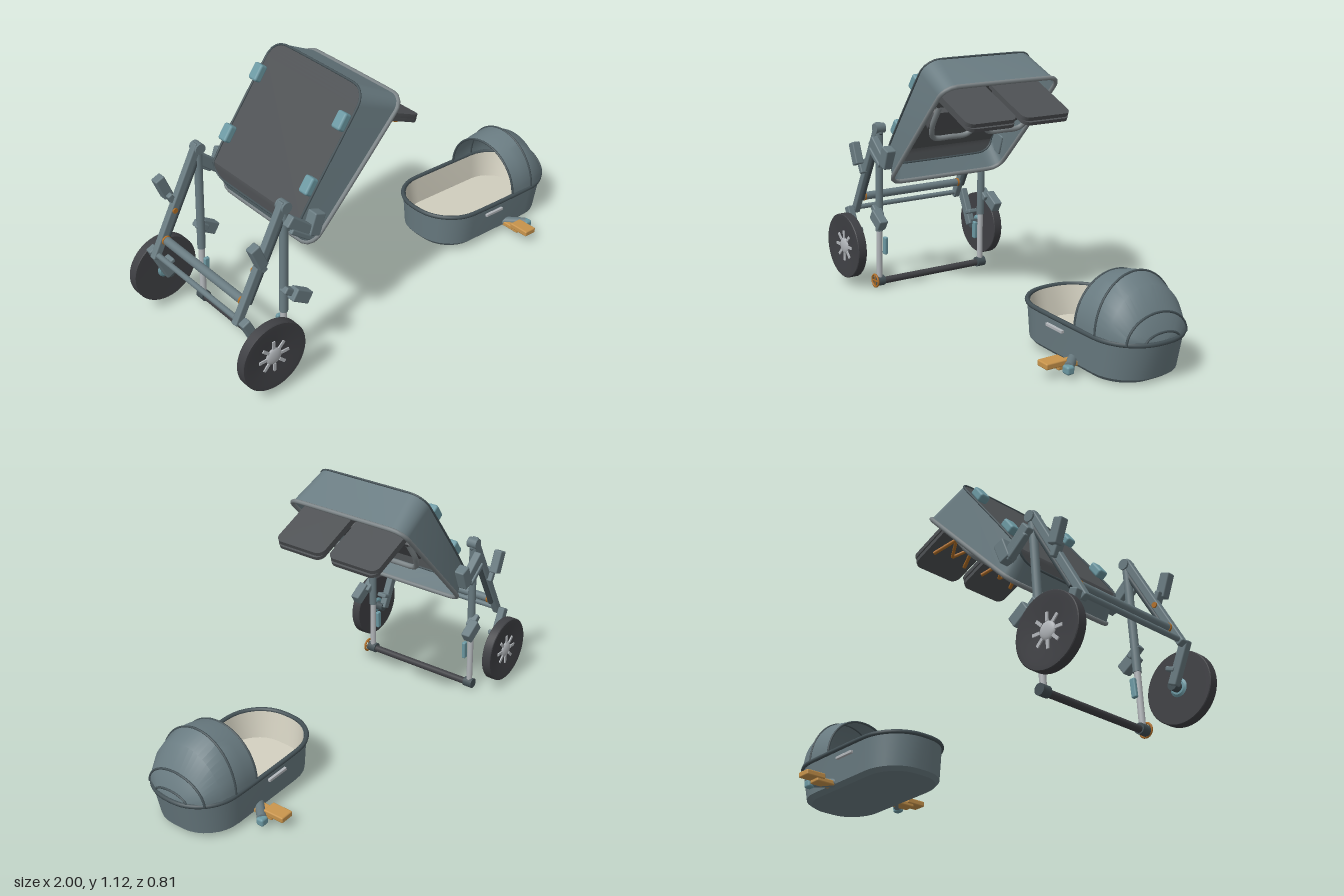
import * as THREE from 'three';
import { toCreasedNormals } from 'three/addons/utils/BufferGeometryUtils.js';
import { RoundedBoxGeometry } from 'three/addons/geometries/RoundedBoxGeometry.js';

const V = (x, y, z) => new THREE.Vector3(x, y, z);
function material(name, color, side = THREE.FrontSide) {
  const m = new THREE.MeshStandardMaterial({ color, side });
  m.name = name;
  return m;
}

// Rounded rectangle lying between two points of the xy plane and spread along z
function loop(p0, p1, halfZ, radius, zc = 0) {
  const half = Math.hypot(p1[0] - p0[0], p1[1] - p0[1]) / 2;
  const pts = [];
  [[1, 1], [-1, 1], [-1, -1], [1, -1]].forEach(([sx, sz], q) => {
    for (let i = 0; i <= 8; i++) {
      const a = (q + i / 8) * Math.PI / 2;
      const s = (sx * (half - radius) + radius * Math.cos(a)) / half;
      const z = sz * (halfZ - radius) + radius * Math.sin(a);
      const t = (s + 1) / 2;
      pts.push(V(p0[0] + (p1[0] - p0[0]) * t, p0[1] + (p1[1] - p0[1]) * t, z + zc));
    }
  });
  return pts;
}

// Skin a row of cross-sections
function loft(sections, closed = true, crease = 0.6) {
  const n = sections[0].length, pos = [], idx = [];
  sections.forEach(s => s.forEach(p => pos.push(p.x, p.y, p.z)));
  for (let j = 0; j < sections.length - 1; j++) {
    for (let i = 0; i < (closed ? n : n - 1); i++) {
      const a = j * n + i, b = j * n + (i + 1) % n;
      idx.push(a, b, a + n, b, b + n, a + n);
    }
  }
  const g = new THREE.BufferGeometry();
  g.setAttribute('position', new THREE.Float32BufferAttribute(pos, 3));
  g.setIndex(idx);
  g.computeVertexNormals();
  return toCreasedNormals(g, crease);
}

// Face filling a loop, spanned straight across z
function cap(pts) {
  const h = pts.length / 2;
  return loft([pts.slice(0, h), pts.slice(h).reverse()], false, 0.3);
}

// Flat cushion with rounded corners
function slab(p0, p1, halfZ, radius, thickness, zc) {
  const n = V(p0[1] - p1[1], p1[0] - p0[0], 0).setLength(thickness / 2);
  const mid = loop(p0, p1, halfZ, radius, zc);
  const low = mid.map(p => p.clone().sub(n)), high = mid.map(p => p.clone().add(n));
  const middle = pts => {
    const c = pts.reduce((s, p) => s.add(p), V(0, 0, 0)).divideScalar(pts.length);
    return pts.map(p => p.clone().lerp(c, 0.999));
  };
  return loft([middle(low), low, high, middle(high)]);
}

export function createModel() {
  const root = new THREE.Group();
  root.name = 'stroller';
  const D = THREE.DoubleSide;
  const slate = material('slate grey', 0x697b81, D);
  const trim = material('dark trim', 0x445156);
  const pale = material('pale grey edging', 0x7b8386);
  const charcoal = material('charcoal fabric', 0x4e5154, D);
  const rubber = material('tyre rubber', 0x3f4044);
  const metal = material('silver metal', 0xb2b6ba);
  const orange = material('orange', 0xb06e26);
  const amber = material('light orange', 0xc8944c);
  const teal = material('teal plastic', 0x6c99a3);
  const cream = material('cream lining', 0xd2cfbf, D);

  let parent = root;
  const section = name => { parent = new THREE.Group(); parent.name = name; root.add(parent); };
  function add(name, geo, mat) {
    const m = new THREE.Mesh(geo, mat);
    m.name = name;
    parent.add(m);
    return m;
  }
  function rod(name, a, b, r, mat) {
    const d = b.clone().sub(a);
    const m = add(name, new THREE.CylinderGeometry(r, r, d.length(), 16), mat);
    m.position.copy(a).lerp(b, 0.5);
    m.quaternion.setFromUnitVectors(V(0, 1, 0), d.normalize());
    return m;
  }
  // Rounded bar between two xy points at depth z
  function bar(name, a, b, width, depth, z, mat, round = 0.006) {
    const dx = b[0] - a[0], dy = b[1] - a[1];
    const m = add(name, new RoundedBoxGeometry(Math.hypot(dx, dy), width, depth, 2, round), mat);
    m.position.set((a[0] + b[0]) / 2, (a[1] + b[1]) / 2, z);
    m.rotation.z = Math.atan2(dy, dx);
    return m;
  }
  function tube(name, pts, r, closed, mat) {
    const curve = new THREE.CatmullRomCurve3(pts, closed, 'centripetal');
    return add(name, new THREE.TubeGeometry(curve, 96, r, 8, closed), mat);
  }

  // Wheels
  section('wheels');
  const wheels = parent;
  const tyre = [[0, -0.02], [0.13, -0.022], [0.15, -0.022], [0.153, -0.019],
    [0.153, 0.019], [0.15, 0.022], [0.13, 0.022], [0.07, 0.014], [0, 0.012]];
  for (const s of [1, -1]) {
    parent = new THREE.Group();
    parent.name = 'wheel';
    parent.position.set(-0.845, 0.195, s * 0.381);
    parent.rotation.x = s * Math.PI / 2;
    wheels.add(parent);
    const g = new THREE.LatheGeometry(tyre.map(p => new THREE.Vector2(...p)), 48);
    add('tyre', toCreasedNormals(g, 0.6), rubber);
    const dome = add('hubDome', new THREE.SphereGeometry(0.038, 24, 12), metal);
    dome.scale.y = 0.32;
    dome.position.y = 0.013;
    for (let i = 0; i < 8; i++) {
      const a = i * Math.PI / 4;
      const spoke = add('spoke', new THREE.BoxGeometry(0.036, 0.008, 0.013), metal);
      spoke.position.set(0.054 * Math.cos(a), 0.015, 0.054 * Math.sin(a));
      spoke.rotation.y = -a;
    }
    add('innerHub', new THREE.CylinderGeometry(0.045, 0.03, 0.012, 20), teal).position.y = -0.022;
  }

  // Folding frame
  section('frame');
  for (const s of [1, -1]) {
    const z = s * 0.284;
    bar('rearLeg', [-0.685, 0.79], [-0.935, 0.33], 0.034, 0.032, z, slate);
    rod('rearLegRail', V(-0.675, 0.75, z), V(-0.87, 0.4, z), 0.012, trim);
    rod('frontLeg', V(-0.683, 0.78, z), V(-0.706, 0.28, z), 0.018, slate);
    rod('frontLegTube', V(-0.706, 0.29, z), V(-0.715, 0.04, z), 0.014, metal);
    rod('apexHinge', V(-0.685, 0.77, z - 0.024), V(-0.685, 0.77, z + 0.024), 0.024, slate);
    rod('frontFoot', V(-0.715, 0.035, z - 0.022), V(-0.715, 0.035, z + 0.022), 0.024, trim);
    bar('seatArm', [-0.69, 0.72], [-0.575, 0.62], 0.05, 0.036, s * 0.314, slate);
    bar('seatArmLink', [-0.69, 0.68], [-0.6, 0.61], 0.022, 0.02, s * 0.33, slate);
    bar('seatMount', [-0.58, 0.61], [-0.545, 0.7], 0.055, 0.05, s * 0.313, slate);
    bar('upperBracket', [-0.863, 0.68], [-0.825, 0.58], 0.045, 0.04, s * 0.32, slate);
    bar('upperBracketLink', [-0.835, 0.6], [-0.805, 0.54], 0.025, 0.04, s * 0.3, slate);
    bar('lowerBracket', [-0.685, 0.375], [-0.61, 0.325], 0.055, 0.044, s * 0.318, slate);
    bar('lowerBracketLink', [-0.715, 0.4], [-0.665, 0.36], 0.03, 0.04, s * 0.3, slate);
    bar('wheelFork', [-0.925, 0.36], [-0.85, 0.19], 0.04, 0.034, s * 0.322, slate);
    rod('axle', V(-0.845, 0.195, s * 0.318), V(-0.845, 0.195, s * 0.372), 0.022, trim);
    bar('brakeLever', [-0.87, 0.25], [-0.83, 0.265], 0.02, 0.05, s * 0.325, slate);
    bar('footCatch', [-0.712, 0.16], [-0.706, 0.245], 0.026, 0.018, s * 0.252, teal);
    rod('crossbarCollar', V(-0.883, 0.41, s * 0.258), V(-0.883, 0.41, s * 0.267), 0.021, orange);
    rod('legCollar', V(-0.827, 0.531, s * 0.262), V(-0.827, 0.531, s * 0.27), 0.012, orange);
  }
  rod('upperCrossbar', V(-0.883, 0.41, -0.28), V(-0.883, 0.41, 0.28), 0.019, slate);
  rod('lowerCrossbar', V(-0.925, 0.35, -0.28), V(-0.925, 0.35, 0.28), 0.012, slate);
  rod('frontCrossbar', V(-0.715, 0.032, -0.28), V(-0.715, 0.032, 0.28), 0.016, rubber);
  add('footRing', new THREE.TorusGeometry(0.029, 0.005, 8, 24), orange).position.set(-0.71, 0.04, 0.31);
  for (const a of [0, Math.PI / 2]) {
    const cross = bar('footRingSpoke', [-0.737, 0.04], [-0.683, 0.04], 0.006, 0.006, 0.31, orange, 0.002);
    cross.rotation.z = a;
  }

  // Seat tub, open towards the lower right, its back folded near the lower edge
  section('seatTub');
  const back = loop([-0.655, 0.61], [-0.27, 1.122], 0.286, 0.075);
  back.forEach(p => { p.x = Math.max(p.x, -0.612); });
  const rim = loop([-0.572, 0.535], [-0.092, 1.025], 0.302, 0.06);
  add('tubWall', loft([back, rim]), slate);
  add('tubBack', cap(back), charcoal);
  tube('backPiping', back, 0.005, true, trim);
  tube('tubRim', rim, 0.01, true, pale);
  for (const s of [1, -1]) {
    for (const [x, y] of [[-0.379, 1.015], [-0.547, 0.793]]) {
      bar('backClip', [x - 0.022, y - 0.03], [x + 0.022, y + 0.03], 0.038, 0.05, s * 0.264, teal, 0.01);
    }
    // Folded seat pads with support loops and struts
    const zc = s * 0.142;
    add('seatPad', slab([-0.25, 1.003], [0.034, 0.877], 0.127, 0.035, 0.018, zc), charcoal);
    add('seatPadBase', slab([-0.235, 0.976], [0.034, 0.857], 0.122, 0.035, 0.016, zc), charcoal);
    add('seatCushion', slab([-0.345, 0.81], [-0.27, 0.9], 0.105, 0.03, 0.03, zc), charcoal);
    const w = 0.118;
    tube('seatLoop', [V(-0.2, 0.925, zc - w), V(-0.26, 0.835, zc - w), V(-0.3, 0.778, zc - w + 0.03),
      V(-0.303, 0.772, zc), V(-0.3, 0.778, zc + w - 0.03), V(-0.26, 0.835, zc + w),
      V(-0.2, 0.925, zc + w)], 0.012, false, pale);
    for (const t of [1, -1]) {
      rod('strut', V(-0.22, 0.952, zc + t * 0.025), V(-0.06, 0.882, zc + t * 0.09), 0.008, orange);
      rod('strutBrace', V(-0.22, 0.95, zc + t * 0.09), V(-0.08, 0.89, zc), 0.007, orange);
    }
  }

  // Bassinet shell, lining and rim
  section('bassinet');
  const bz = 0.022;
  const base = loop([0.29, 0.036], [0.92, 0.004], 0.168, 0.14, bz);
  const lip = loop([0.26, 0.206], [0.987, 0.171], 0.198, 0.18, bz);
  add('shell', loft([base, loop([0.274, 0.055], [0.95, 0.023], 0.187, 0.16, bz), lip]), slate);
  add('shellBottom', cap(base), slate);
  const floor = loop([0.298, 0.082], [0.935, 0.052], 0.17, 0.14, bz);
  add('lining', loft([floor, loop([0.272, 0.205], [0.975, 0.172], 0.187, 0.17, bz)]), cream);
  add('mattress', cap(floor), cream);
  tube('bassinetRim', lip, 0.01, true, trim);

  // Hood: arches given as x at base, x at crown, crown height, half width
  const arches = [[0.69, 0.69, 0.385, 0.197], [0.75, 0.748, 0.4, 0.2], [0.815, 0.81, 0.408, 0.2],
    [0.88, 0.885, 0.368, 0.186], [0.942, 0.946, 0.278, 0.15], [0.975, 0.977, 0.208, 0.085],
    [0.985, 0.985, 0.178, 0.02]].map(([xb, xt, top, hw]) => {
    const y0 = 0.185 - (xb - 0.69) * 0.05;
    return Array.from({ length: 25 }, (_, i) => {
      const a = i / 24 * Math.PI, k = Math.sin(a);
      return V(xb + (xt - xb) * k, y0 + (top - y0) * k, bz + hw * Math.cos(a));
    });
  });
  add('hood', loft(arches, false, 0.5), slate);
  for (const i of [0, 2, 4, 5]) tube('hoodRib', arches[i], 0.005, false, trim);

  // Side handles and mounting adapters
  for (const s of [1, -1]) {
    bar('sideHandle', [0.515, 0.152], [0.62, 0.147], 0.013, 0.016, bz + s * 0.199, metal, 0.002);
    rod('adapterArm', V(0.655, 0.048, bz + s * 0.175), V(0.73, 0.048, bz + s * 0.255), 0.02, slate);
    bar('adapterHead', [0.712, 0.042], [0.752, 0.04], 0.036, 0.036, bz + s * 0.258, teal, 0.01);
    bar('adapterPlate', [0.64, 0.06], [0.704, 0.057], 0.026, 0.1, bz + s * 0.29, amber);
    bar('adapterStem', [0.645, 0.044], [0.7, 0.04], 0.022, 0.1, bz + s * 0.23, amber);
  }
  return root;
}
